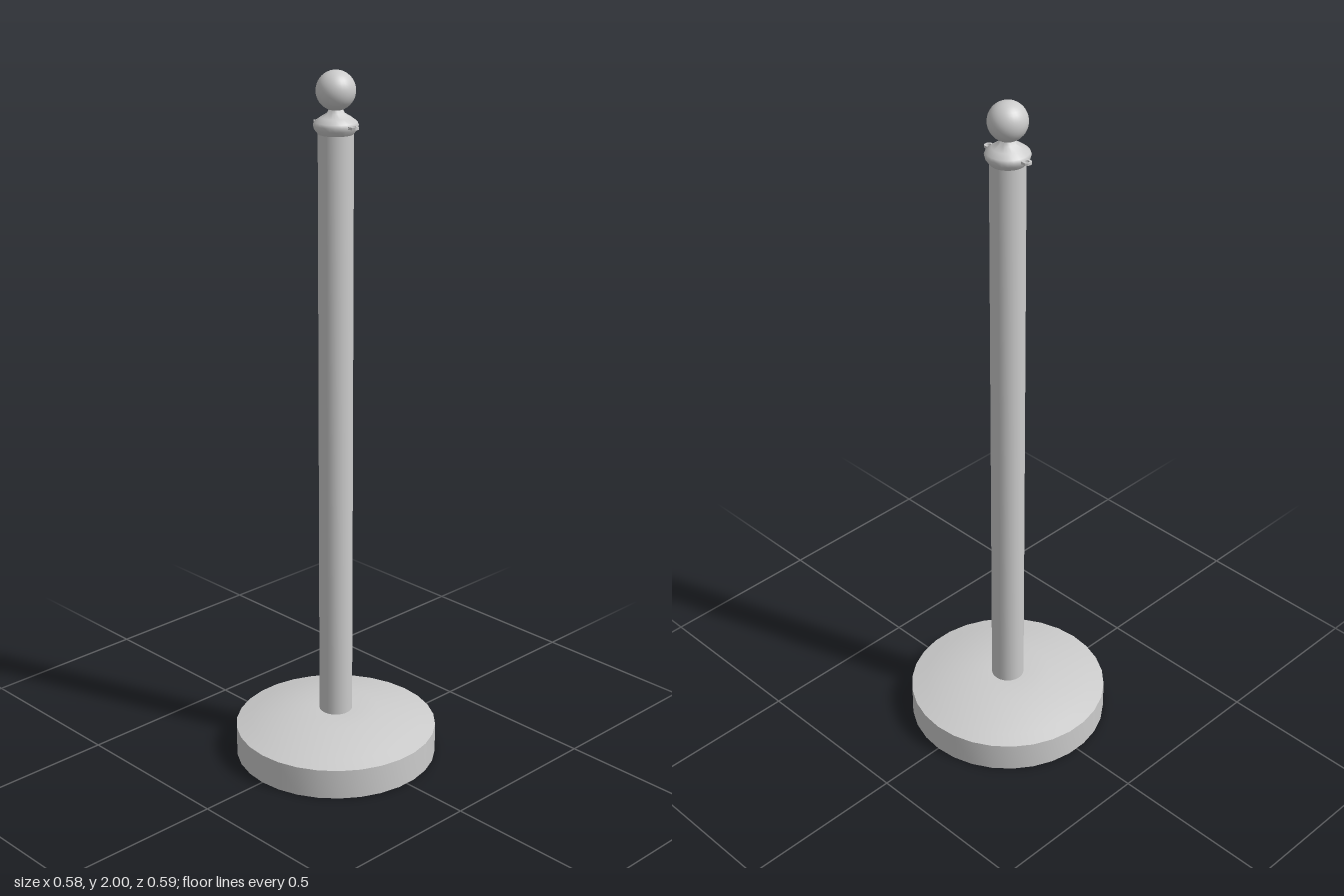
import * as THREE from 'three';
import { toCreasedNormals } from 'three/addons/utils/BufferGeometryUtils.js';

export function createModel() {
  const group = new THREE.Group();
  const grey = new THREE.MeshStandardMaterial({ color: 0xcccccc, side: THREE.DoubleSide });

  const add = (name, geometry, parent = group) => {
    const mesh = new THREE.Mesh(geometry, grey);
    mesh.name = name;
    parent.add(mesh);
    return mesh;
  };
  // Turned part from [radius, height] pairs, bottom to top
  const turned = (profile, sides, crease = 0.6) => toCreasedNormals(
    new THREE.LatheGeometry(profile.map(([r, y]) => new THREE.Vector2(r, y)), sides), crease);

  // Hollow weighted foot, open underneath
  add('base', turned([[0.293, 0], [0.293, 0.088], [0.25, 0.1], [0.125, 0.132], [0.045, 0.132]], 30));

  // Everything above the foot shares one axis
  const upright = new THREE.Group();
  upright.name = 'upright';
  upright.position.set(-0.003, 0, -0.003);
  group.add(upright);

  // Fixing washer and nut under the foot
  add('fixingWasher', turned([[0.025, 0.108], [0.05, 0.108], [0.08, 0.116], [0.085, 0.13]].reverse(), 24), upright);
  add('fixingNut', turned([[0.001, 0.112], [0.025, 0.112], [0.025, 0.102], [0.04, 0.102], [0.045, 0.112]], 16), upright);

  // Post
  add('post', turned([[0.048, 0.125], [0.048, 1.84], [0.02, 1.84]], 24), upright);

  // Flared collar and neck
  add('collar', turned([[0.048, 1.832], [0.058, 1.845], [0.061, 1.856], [0.058, 1.864],
    [0.042, 1.876], [0.024, 1.887], [0.016, 1.902]], 24, 1.0), upright);

  // Ball finial
  add('ballFinial', new THREE.SphereGeometry(0.0535, 28, 20), upright).position.y = 1.9465;

  // Rope eyelets on both sides of the collar
  const eyelet = new THREE.Shape([[0.045, -0.012], [0.073, -0.012], [0.08, -0.006],
    [0.08, 0.006], [0.073, 0.012], [0.045, 0.012]].map(([x, y]) => new THREE.Vector2(x, y)));
  const hole = new THREE.Path();
  hole.absarc(0.069, 0, 0.0065, 0, Math.PI * 2, true);
  eyelet.holes.push(hole);
  const eyeletGeometry = new THREE.ExtrudeGeometry(eyelet, { depth: 0.007, bevelEnabled: false, curveSegments: 6 });
  eyeletGeometry.rotateX(-Math.PI / 2);
  for (const side of ['left', 'right']) {
    const mesh = add(side + 'Eyelet', eyeletGeometry, upright);
    mesh.position.y = 1.852;
    mesh.rotation.y = side === 'left' ? 0 : Math.PI;
  }

  return group;
}
